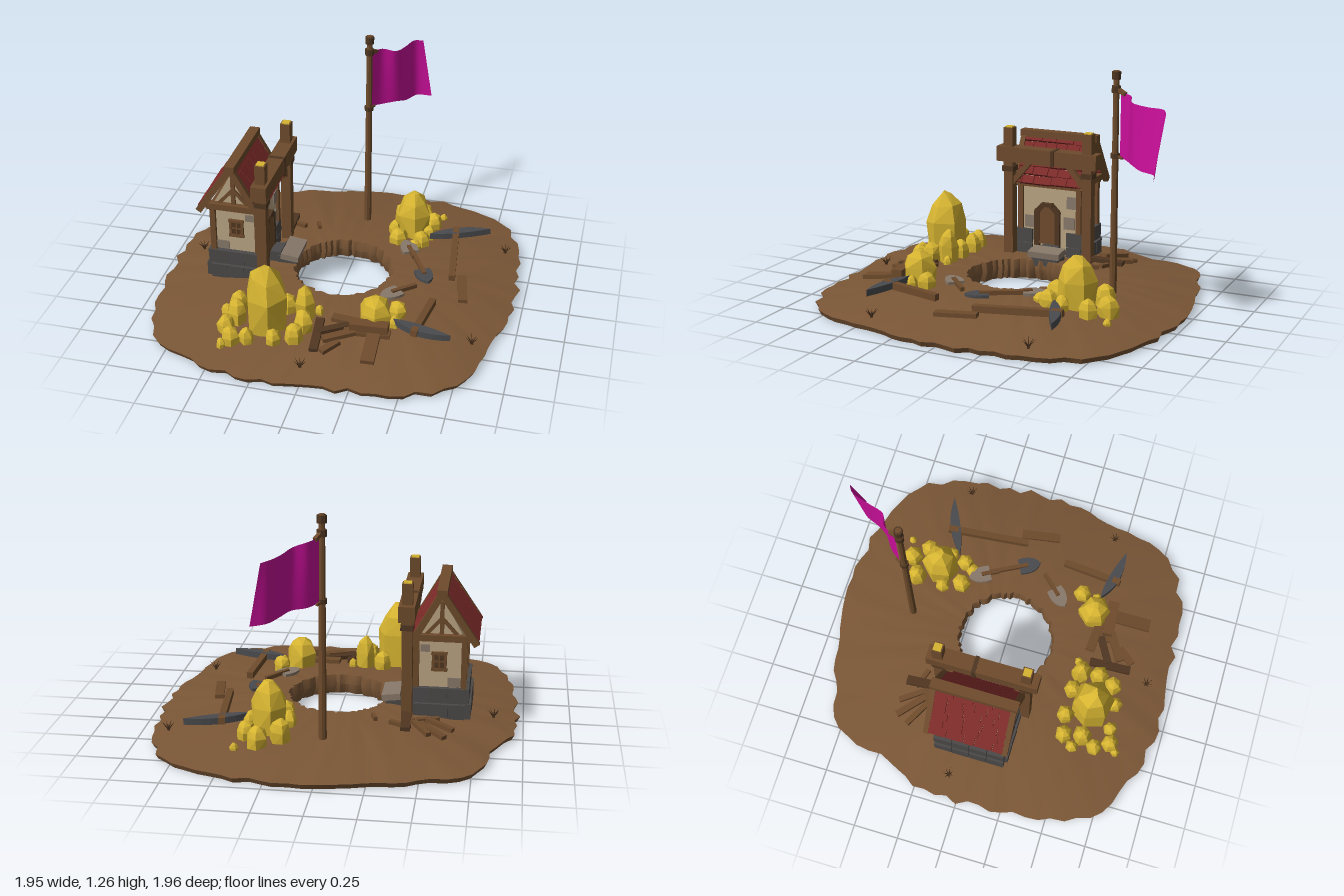
import * as THREE from 'three';
import { toCreasedNormals } from 'three/addons/utils/BufferGeometryUtils.js';
import { ConvexGeometry } from 'three/addons/geometries/ConvexGeometry.js';

const mat = (name, color, side = THREE.FrontSide) => new THREE.MeshStandardMaterial({ name, color, side });
const earth = mat('earth', 0x7a5636), wood = mat('wood', 0x6e4b2c), darkWood = mat('dark wood', 0x4f3621);
const gold = mat('gold', 0xd6b431), iron = mat('dark iron', 0x4a4b4e), slate = mat('slate stone', 0x4b4948);
const stone = mat('pale stone', 0x877869), plaster = mat('plaster', 0xb9a482), tile = mat('roof tile', 0x7c2b29);
const cloth = mat('magenta cloth', 0xc80f98, THREE.DoubleSide);

let seed = 7;
const rnd = (a = 0, b = 1) => {
  seed = (seed * 16807) % 2147483647;
  return a + (b - a) * seed / 2147483647;
};
const V = (x, y, z) => new THREE.Vector3(x, y, z);

// Island radius every 15 degrees, from +x towards +z
const RADII = [.96, .95, 1.01, 1.11, 1.05, .97, .95, 1.01, 1.05, 1.13, 1.06, .98,
  .97, .98, .98, 1.08, 1.0, .96, .98, 1.0, 1.05, 1.12, 1.06, .97];
const radius = a => {
  const f = ((a / (Math.PI * 2) + 1) % 1) * 24, i = Math.floor(f);
  return THREE.MathUtils.lerp(RADII[i % 24], RADII[(i + 1) % 24], f - i);
};
const HOLE = 0.27;
const slope = t => 0.028 + 0.085 * (1 - Math.pow(THREE.MathUtils.clamp(t, 0, 1), 1.5));
const groundY = (x, z) => {
  const R = radius(Math.atan2(z, x));
  return slope((Math.hypot(x, z) - HOLE) / (R - HOLE));
};

function add(parent, name, geo, material, x = 0, y = 0, z = 0, ry = 0) {
  const m = new THREE.Mesh(geo, material);
  m.name = name;
  m.position.set(x, y, z);
  m.rotation.y = ry;
  parent.add(m);
  return m;
}
const box = (p, name, material, w, h, d, x, y, z, ry) =>
  add(p, name, new THREE.BoxGeometry(w, h, d), material, x, y, z, ry);
// Straight timber from a to b
function beam(p, name, material, a, b, w, h = w) {
  const m = box(p, name, material, w, h, a.distanceTo(b), 0, 0, 0);
  m.position.copy(a).lerp(b, 0.5);
  m.lookAt(b);
  return m;
}
function group(parent, name) {
  const g = new THREE.Group();
  g.name = name;
  parent.add(g);
  return g;
}

// Ring-shaped mound: one closed cross-section swept around the pit
function ground(root) {
  const N = 96, pos = [], idx = [], steps = [0, .12, .3, .5, .7, .88, 1];
  const M = steps.length + 3;
  for (let i = 0; i < N; i++) {
    const a = i / N * Math.PI * 2, R = radius(a) + rnd(-.022, .015), r = HOLE + rnd(-.012, .012);
    const ring = [[r + .01, 0], [r - .012, .06]];
    steps.forEach(t => ring.push([r + (R - r) * t, slope(t) + (t > 0 && t < 1 ? rnd(-.004, .004) : 0)]));
    ring.push([R - .015, 0]);
    ring.forEach(([d, y]) => pos.push(d * Math.cos(a), y, d * Math.sin(a)));
    for (let j = 0; j < M; j++) {
      const k = (i + 1) % N, l = (j + 1) % M;
      const A = i * M + j, B = k * M + j, C = k * M + l, D = i * M + l;
      idx.push(A, B, C, A, C, D);
    }
  }
  const g = new THREE.BufferGeometry();
  g.setAttribute('position', new THREE.Float32BufferAttribute(pos, 3));
  g.setIndex(idx);
  add(root, 'ground', toCreasedNormals(g, 0.6), earth);
}

// Faceted nugget reaching up to height top
function nugget(p, x, z, r, top) {
  const pts = [], y0 = groundY(x, z) - .02, turn = rnd(0, 6);
  [[0, .95], [.55, 1], [.83, .72], [1, .25]].forEach(([v, s]) => {
    for (let i = 0; i < 6; i++) {
      const a = turn + i / 6 * Math.PI * 2, d = r * s * rnd(.88, 1.1);
      pts.push(V(Math.cos(a) * d, (top - y0) * Math.min(1, v * rnd(.94, 1.04)), Math.sin(a) * d));
    }
  });
  add(p, 'gold nugget', new ConvexGeometry(pts), gold, x, y0, z);
}

function house(root) {
  const g = group(root, 'house');
  const X = -.56, L = -.68, Rr = -.43, Z = .175;
  const s = new THREE.Shape([[L, .1], [Rr, .1], [Rr, .52], [X, .74], [L, .52]].map(p => new THREE.Vector2(...p)));
  add(g, 'walls', new THREE.ExtrudeGeometry(s, { depth: Z * 2, bevelEnabled: false }), plaster, 0, 0, -Z);
  // Stone footing in two courses
  for (let c = 0; c < 2; c++) {
    const y = .12 + c * .085, o = c ? 0 : .012;
    for (let i = 0; i < 4; i++) {
      const z = -.15 + i * .1;
      box(g, 'footing stone', slate, .05, .082, .097, L - .005 - o, y, z).rotation.z = rnd(-.05, .05);
      if (i === 0 || i === 3) box(g, 'footing stone', slate, .04, .08, .09, Rr - .005, y, z);
    }
    for (const sz of [-1, 1]) for (let i = 0; i < 3; i++)
      box(g, 'footing stone', slate, .09, .082, .045, -.645 + i * .09 + c * .005, y, sz * (Z + .005 + o), rnd(-.05, .05));
  }
  // Timber frame
  for (const sz of [-1, 1]) {
    const z = sz * (Z + .004);
    for (const x of [L, Rr]) beam(g, 'corner post', wood, V(x, .24, z), V(x, .54, z), .03);
    beam(g, 'gable tie', wood, V(L - .03, .525, z + sz * .012), V(Rr + .03, .525, z + sz * .012), .035);
    beam(g, 'king post', wood, V(X, .53, z), V(X, .72, z), .022);
    for (const d of [-1, 1]) beam(g, 'gable brace', wood, V(X + d * .08, .54, z), V(X, .63, z), .018);
    beam(g, 'barge board', wood, V(X, .775, sz * .215), V(X - .185, .5, sz * .215), .03, .035);
    beam(g, 'barge board', wood, V(X, .775, sz * .215), V(X + .155, .5, sz * .215), .03, .035);
    // Window with mullions
    box(g, 'window pane', darkWood, .055, .08, .008, X + .01, .39, sz * (Z + .003));
    for (const d of [-1, 1]) {
      box(g, 'window frame', wood, .014, .105, .02, X + .01 + d * .032, .39, z);
      box(g, 'window frame', wood, .085, .016, .02, X + .01, .39 + d * .045, z);
    }
    box(g, 'window mullion', wood, .008, .08, .014, X + .01, .39, z);
    box(g, 'window mullion', wood, .055, .008, .014, X + .01, .39, z);
    // Worn plaster
    box(g, 'bare patch', stone, .07, .05, .006, -.63, .275, sz * (Z + .002));
    box(g, 'bare patch', stone, .05, .04, .006, -.475, .46, sz * (Z + .002));
  }
  for (const x of [L, Rr]) beam(g, 'wall plate', wood, V(x, .51, -.2), V(x, .51, .2), .03);
  beam(g, 'wall post', wood, V(L, .24, 0), V(L, .52, 0), .03);
  for (const [y, z] of [[.29, .12], [.3, -.12], [.42, -.14]])
    box(g, 'bare patch', stone, .008, .07, .07, Rr + .003, y, z);
  // Door with frame
  const door = new THREE.Shape([[-.055, 0], [.055, 0], [.055, .18], [.03, .215], [-.03, .215], [-.055, .18]]
    .map(p => new THREE.Vector2(...p)));
  add(g, 'door', new THREE.ExtrudeGeometry(door, { depth: .02, bevelEnabled: false }), wood, Rr, .17, .01, Math.PI / 2);
  for (const d of [-1, 1]) {
    beam(g, 'door frame', darkWood, V(Rr + .015, .15, .01 + d * .063), V(Rr + .015, .36, .01 + d * .063), .02, .03);
    beam(g, 'door frame', darkWood, V(Rr + .015, .355, .01 + d * .066), V(Rr + .015, .4, .01 + d * .02), .02, .03);
  }
  beam(g, 'door frame', darkWood, V(Rr + .015, .398, -.025), V(Rr + .015, .398, .045), .03, .02);
  // Roof tiles laid in overlapping courses
  for (const dx of [-.185, .155]) for (let r = 0; r < 6; r++) {
    let z = -.205;
    while (z < .2) {
      const w = Math.min(rnd(.06, .11), .205 - z), a = r / 6, b = (r + 1.15) / 6, lift = rnd(0, .006);
      if (w > .004) beam(g, 'roof tile', tile, V(X + dx * a, .768 - .26 * a + lift, z + w / 2),
        V(X + dx * b, .78 - .26 * b + lift, z + w / 2), w - .003, .018);
      z += w;
    }
  }
  beam(g, 'ridge beam', wood, V(X, .775, -.235), V(X, .775, .235), .055, .04);
}

function gate(root) {
  const g = group(root, 'gate');
  for (const z of [-.25, .23]) {
    beam(g, 'gate post', wood, V(-.39, .07, z), V(-.385, .835, z), .055);
    box(g, 'post cap', gold, .042, .006, .042, -.385, .838, z);
    const s = z > 0 ? -1 : 1;
    beam(g, 'gate brace', wood, V(-.39, .5, z), V(-.39, .64, z + s * .12), .03);
    box(g, 'post collar', darkWood, .068, .03, .068, -.386, .6, z);
  }
  beam(g, 'gate beam', wood, V(-.385, .68, -.31), V(-.385, .685, .295), .085, .085);
  box(g, 'beam strap', darkWood, .094, .09, .022, -.385, .682, -.05);
  // Steps down to the pit
  box(g, 'stone step', stone, .1, .035, .19, -.295, .155, -.04).rotation.z = -.12;
  box(g, 'stone step', slate, .1, .07, .16, -.315, .115, -.04);
  box(g, 'stone step', slate, .07, .08, .1, -.385, .13, -.02);
}

function flag(root) {
  const g = group(root, 'flag');
  add(g, 'flagpole', toCreasedNormals(new THREE.CylinderGeometry(.016, .021, 1.18, 8), .6), wood, .01, .67, -.56);
  for (const [y, h] of [[1.235, .04], [1.165, .035], [.82, .025]])
    add(g, 'pole band', toCreasedNormals(new THREE.CylinderGeometry(.025, .025, h, 8), .6), darkWood, .01, y, -.56);
  beam(g, 'flag hook', wood, V(.01, 1.17, -.56), V(.035, 1.145, -.62), .02);
  beam(g, 'flag hook', wood, V(.01, .82, -.56), V(.03, .815, -.61), .014);
  const edge = pts => new THREE.CatmullRomCurve3(pts.map(p => V(...p)));
  const top = edge([[.02, 1.15, -.59], [.06, 1.145, -.66], [.13, 1.125, -.69], [.165, 1.115, -.78], [.2, 1.115, -.88], [.245, 1.105, -.91]]);
  const low = edge([[.02, .82, -.59], [.07, .81, -.65], [.14, .81, -.7], [.185, .795, -.76], [.23, .79, -.85], [.31, .78, -.875]]);
  const geo = new THREE.PlaneGeometry(1, 1, 20, 6), p = geo.attributes.position;
  for (let i = 0; i < p.count; i++) {
    const u = p.getX(i) + .5, q = top.getPoint(u).lerp(low.getPoint(u), .5 - p.getY(i));
    p.setXYZ(i, q.x, q.y, q.z);
  }
  geo.computeVertexNormals();
  add(g, 'flag cloth', geo, cloth);
}

// Pickaxe lying on the ground; a and b are the head tips, all as [x, z]
function pickaxe(root, c, a, b, end) {
  const g = group(root, 'pickaxe'), y = groundY(...c) + .03;
  const d = new THREE.Vector2(end[0] - c[0], end[1] - c[1]).normalize();
  const s = new THREE.Shape(), at = k => [d.x * k, -d.y * k];
  s.moveTo(a[0] - c[0], c[1] - a[1]);
  s.quadraticCurveTo(...at(-.07), b[0] - c[0], c[1] - b[1]);
  s.quadraticCurveTo(...at(.05), a[0] - c[0], c[1] - a[1]);
  const head = add(g, 'pickaxe head', new THREE.ExtrudeGeometry(s, { depth: .035, bevelEnabled: false, curveSegments: 8 }),
    iron, c[0], y, c[1]);
  head.rotation.x = -Math.PI / 2;
  beam(g, 'pickaxe handle', wood, V(c[0] - d.x * .04, y + .02, c[1] - d.y * .04), V(end[0], groundY(...end) + .02, end[1]), .036);
}

function shovel(root, c, end, material) {
  const g = group(root, 'shovel'), s = new THREE.Shape();
  s.moveTo(-.045, -.05);
  s.lineTo(.045, -.05);
  s.quadraticCurveTo(.06, .04, 0, .075);
  s.quadraticCurveTo(-.06, .04, -.045, -.05);
  const geo = new THREE.ExtrudeGeometry(s, { depth: .016, bevelEnabled: false, curveSegments: 5 });
  geo.rotateX(Math.PI / 2);
  const y = groundY(...c) + .035;
  add(g, 'shovel blade', geo, material, c[0], y, c[1], Math.atan2(c[0] - end[0], c[1] - end[1]));
  beam(g, 'shovel handle', wood, V(c[0], y, c[1]), V(end[0], groundY(...end) + .03, end[1]), .022);
}

export function createModel() {
  const root = new THREE.Group();
  root.name = 'gold mine';
  ground(root);
  house(root);
  gate(root);
  flag(root);

  // Gold heaps: x, z, radius, top height
  const heap = group(root, 'gold heaps');
  [[-.27, .58, .115, .455], [-.09, .47, .055, .28], [-.07, .57, .055, .2], [-.1, .66, .05, .17], [-.19, .45, .05, .2],
    [-.34, .45, .05, .2], [-.45, .47, .05, .19], [-.5, .53, .035, .14], [-.43, .57, .055, .21], [-.47, .65, .045, .16],
    [-.42, .73, .05, .15], [-.34, .71, .04, .14], [-.2, .7, .045, .15], [-.46, .77, .025, .1], [-.02, .44, .025, .15],
    [.3, -.48, .1, .355], [.22, -.6, .055, .2], [.33, -.66, .055, .18], [.4, -.58, .05, .17], [.24, -.34, .055, .19],
    [.37, -.35, .05, .18], [.34, -.3, .04, .15], [.4, -.44, .04, .17], [.44, -.7, .022, .1], [.2, -.44, .04, .18],
    [.28, .45, .09, .26], [.38, .35, .05, .18], [.38, .44, .03, .15]].forEach(n => nugget(heap, ...n));

  pickaxe(root, [.55, -.47], [.41, -.4], [.74, -.535], [.6, -.04]);
  pickaxe(root, [.505, .5], [.38, .455], [.69, .53], [.54, .2]);
  shovel(root, [.455, 0], [.35, -.2], iron);
  shovel(root, [.32, -.24], [.37, -.15], stone);
  shovel(root, [.32, .22], [.43, .11], stone);

  // Loose planks: x1, z1, x2, z2, width
  const planks = group(root, 'planks');
  [[.65, -.09, .69, .13, .05], [.14, .56, .38, .54, .06], [.3, .57, .31, .77, .07], [0, .5, .02, .73, .045],
    [.06, .48, .33, .5, .05], [.05, .66, .2, .57, .045], [.13, .64, .06, .73, .04], [.02, .6, .16, .52, .04],
    [-.64, -.39, -.5, -.31, .03], [-.6, -.46, -.46, -.33, .035], [-.52, -.47, -.43, -.34, .03], [-.4, -.46, -.39, -.27, .05],
    [-.42, -.4, -.31, -.36, .025], [-.56, -.27, -.42, -.34, .03], [-.24, -.38, -.22, -.33, .02]].forEach(([x, z, u, w, t], i) => {
    const lift = .012 + (i % 3) * .008;
    beam(planks, 'plank', i % 4 === 3 ? darkWood : wood, V(x, groundY(x, z) + lift, z), V(u, groundY(u, w) + lift, w), t, .022);
  });
  box(planks, 'plank block', wood, .2, .045, .06, .27, .14, .545, .05);

  // Dry grass tufts
  const tufts = group(root, 'grass tufts');
  for (const [x, z] of [[.84, -.46], [.79, .44], [-.02, .84], [-.84, -.08]]) for (let i = 0; i < 7; i++) {
    const blade = add(tufts, 'grass blade', new THREE.ConeGeometry(.006, .06, 3), darkWood, x, groundY(x, z) + .02, z);
    const a = i * .9;
    blade.position.add(V(Math.cos(a) * .014, 0, Math.sin(a) * .014));
    blade.rotation.set(Math.sin(a) * .7, 0, -Math.cos(a) * .7);
  }
  return root;
}
